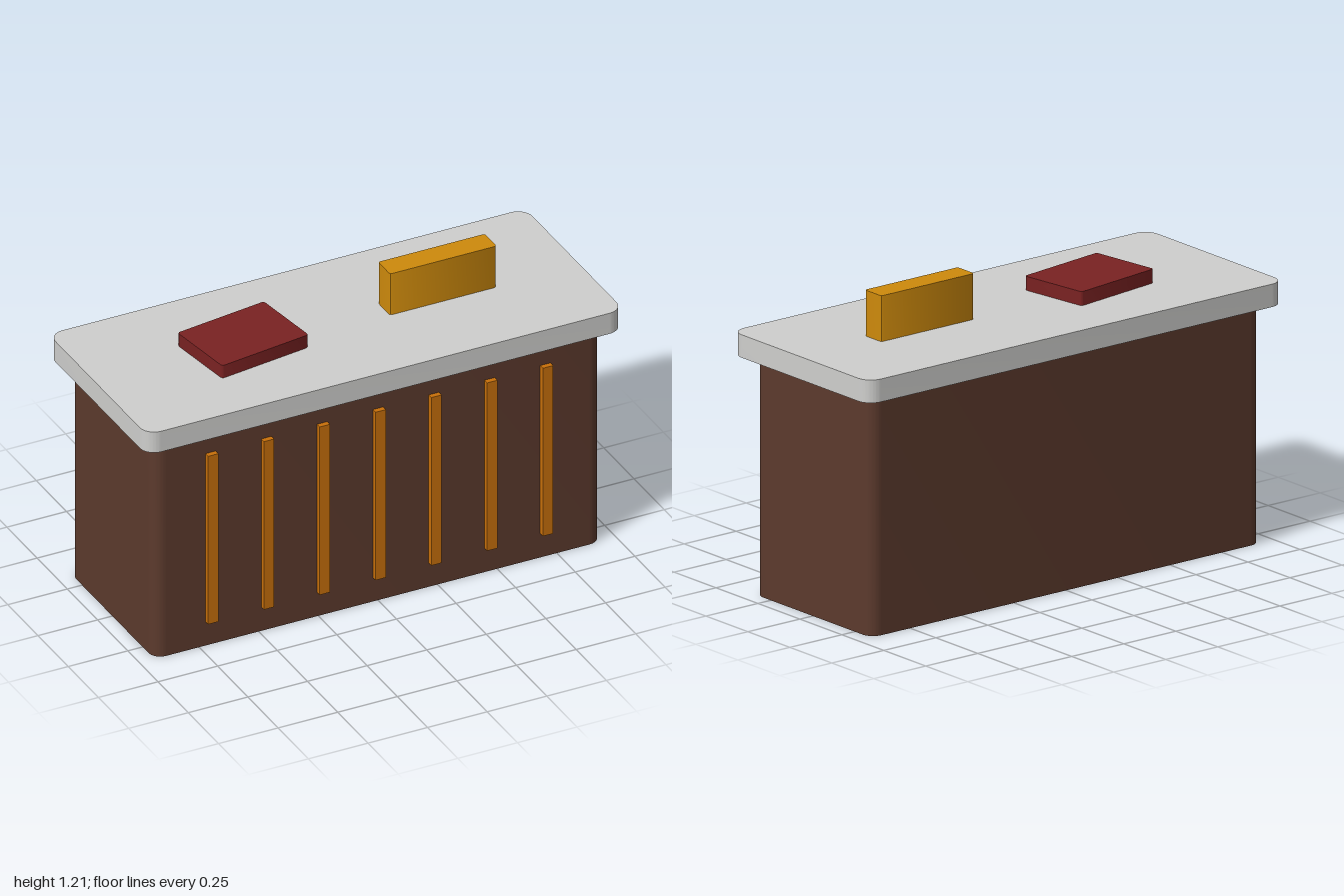
import * as THREE from 'three';
import { toCreasedNormals } from 'three/addons/utils/BufferGeometryUtils.js';

// Upright block with rounded vertical corners, standing on y = 0
function roundedBlock(w, h, d, r) {
  const x = w / 2, z = d / 2;
  const s = new THREE.Shape();
  s.moveTo(-x + r, -z);
  s.lineTo(x - r, -z);
  s.absarc(x - r, -z + r, r, -Math.PI / 2, 0);
  s.lineTo(x, z - r);
  s.absarc(x - r, z - r, r, 0, Math.PI / 2);
  s.lineTo(-x + r, z);
  s.absarc(-x + r, z - r, r, Math.PI / 2, Math.PI);
  s.lineTo(-x, -z + r);
  s.absarc(-x + r, -z + r, r, Math.PI, Math.PI * 1.5);
  const g = new THREE.ExtrudeGeometry(s, { depth: h, bevelEnabled: false, curveSegments: 8 });
  g.rotateX(-Math.PI / 2);
  return toCreasedNormals(g, 0.6);
}

function material(name, color) {
  const m = new THREE.MeshStandardMaterial({ color });
  m.name = name;
  return m;
}

export function createModel() {
  const group = new THREE.Group();
  group.name = 'receptionDesk';

  const wood = material('dark brown wood', 0x5c3a2d);
  const slatWood = material('amber slat', 0xc8700a);
  const stone = material('pale grey stone', 0xcfcfcd);
  const leather = material('dark red cover', 0x7a2222);
  const brass = material('golden sign', 0xce8a0c);

  const add = (name, geometry, mat, x, y, z) => {
    const mesh = new THREE.Mesh(geometry, mat);
    mesh.name = name;
    mesh.position.set(x, y, z);
    group.add(mesh);
    return mesh;
  };

  // Counter body and overhanging top
  add('body', roundedBlock(1.876, 0.94, 0.694, 0.05), wood, 0, 0, 0);
  add('countertop', roundedBlock(2, 0.09, 0.816, 0.06), stone, 0, 0.94, 0);

  // Vertical slats on the front
  const slat = new THREE.BoxGeometry(0.043, 0.735, 0.04);
  for (let i = -3; i <= 3; i++) add('frontSlat', slat, slatWood, i * 0.234, 0.472, 0.349);

  // Ledger, turned slightly on the counter
  const book = add('ledger', roundedBlock(0.394, 0.055, 0.292, 0.012), leather, -0.39, 1.03, 0);
  book.rotation.y = 0.14;

  // Upright sign block
  add('deskSign', roundedBlock(0.447, 0.18, 0.098, 0.01), brass, 0.425, 1.03, 0);

  return group;
}
